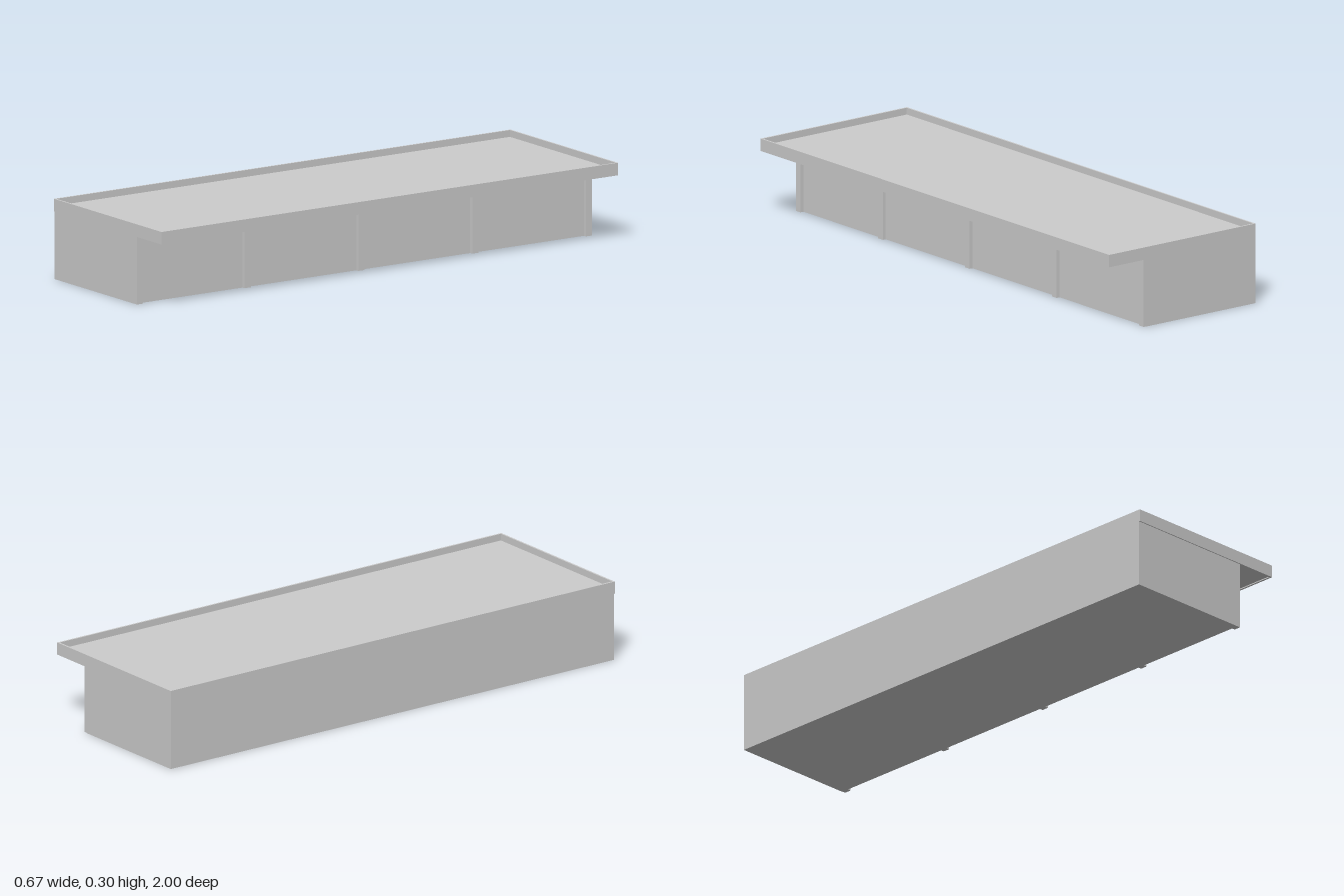
import * as THREE from 'three';

export function createModel() {
  const group = new THREE.Group();
  group.name = 'longFlatRoofBuilding';
  const material = new THREE.MeshStandardMaterial({ color: 0xcccccc, flatShading: true });

  // Box given by its lower and upper corners
  function addBox(name, [x0, y0, z0], [x1, y1, z1]) {
    const mesh = new THREE.Mesh(new THREE.BoxGeometry(x1 - x0, y1 - y0, z1 - z0), material);
    mesh.position.set((x0 + x1) / 2, (y0 + y1) / 2, (z0 + z1) / 2);
    mesh.name = name;
    group.add(mesh);
  }

  const halfW = 0.337, halfL = 1, rim = 0.007;
  const wallTop = 0.25, roofTop = 0.296, frontX = 0.164, soffit = 0.254;

  // Main volume, up to the roof slab
  addBox('body', [-halfW, 0, -halfL], [frontX, soffit, 0.996]);

  // Pilasters along the shop front
  for (let i = 0; i < 5; i++) {
    const z = -0.998 + i * 0.4918;
    const start = [-0.998, -0.5, -0.001, 0.497, 0.969][i] ?? z;
    addBox('pilaster', [frontX, 0, start], [0.177, soffit, start + 0.027]);
  }

  // Roof slab, recessed inside the fascia
  addBox('roofSlab', [-halfW + rim, soffit, -halfL + rim], [halfW - rim, 0.271, halfL - rim]);

  // Thin fascia and parapet ring round the roof
  const ring = new THREE.Shape([
    new THREE.Vector2(-halfW, -halfL), new THREE.Vector2(halfW, -halfL),
    new THREE.Vector2(halfW, halfL), new THREE.Vector2(-halfW, halfL),
  ]);
  const w = halfW - rim, l = halfL - rim;
  ring.holes.push(new THREE.Path([
    new THREE.Vector2(-w, -l), new THREE.Vector2(-w, l),
    new THREE.Vector2(w, l), new THREE.Vector2(w, -l),
  ]));
  const fascia = new THREE.Mesh(
    new THREE.ExtrudeGeometry(ring, { depth: roofTop - wallTop, bevelEnabled: false }), material);
  fascia.rotation.x = -Math.PI / 2;
  fascia.position.y = wallTop;
  fascia.name = 'fascia';
  group.add(fascia);

  return group;
}
